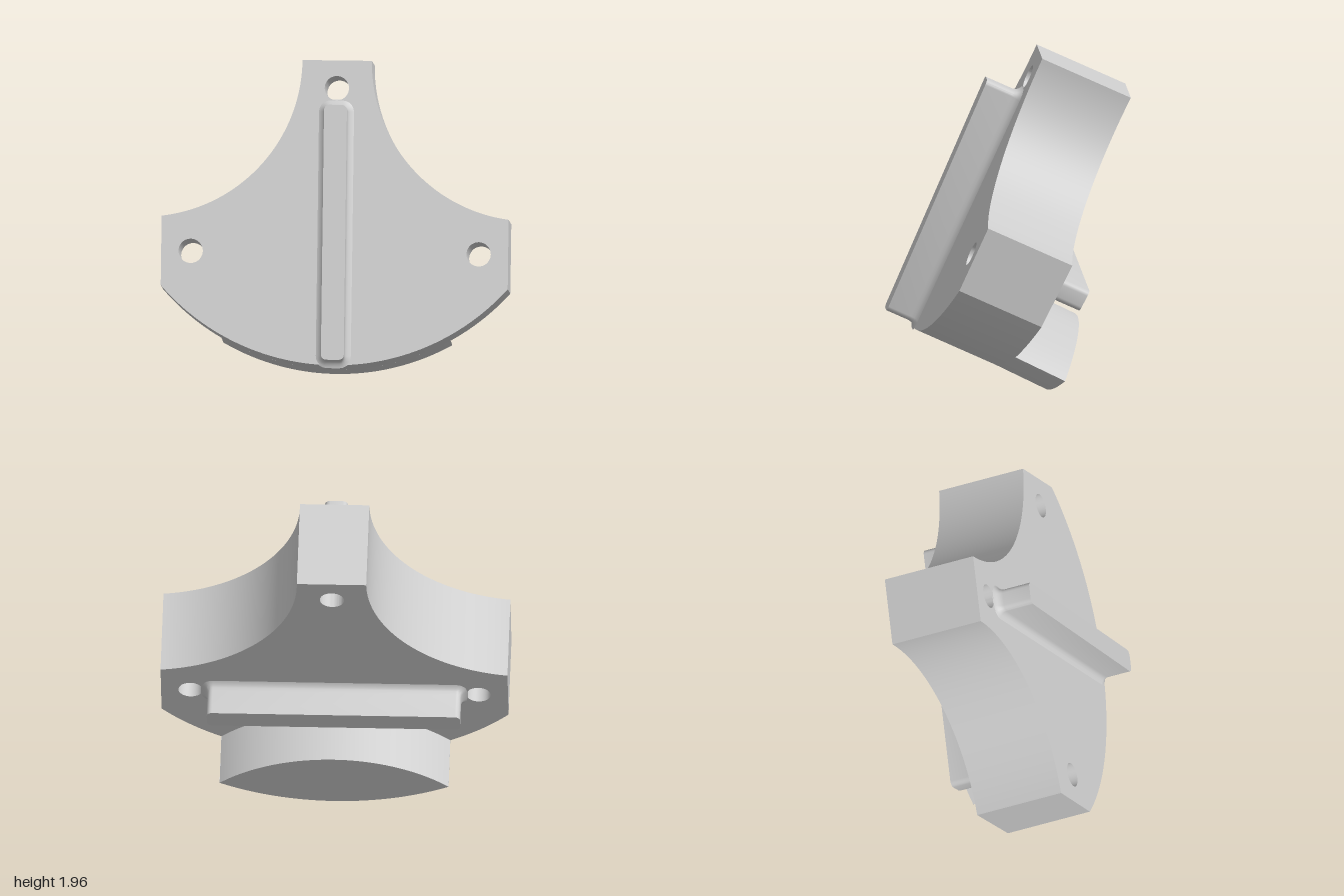
import * as THREE from 'three';
import { toCreasedNormals } from 'three/addons/utils/BufferGeometryUtils.js';

const material = new THREE.MeshStandardMaterial({ color: 0xcccccc });

function part(name, geometry) {
  const mesh = new THREE.Mesh(toCreasedNormals(geometry, 0.6), material);
  mesh.name = name;
  return mesh;
}

// Extrude a shape so its back and front lie on sloping planes z = f(y)
function wedge(shape, back, front) {
  const geo = new THREE.ExtrudeGeometry(shape, { depth: 1, bevelEnabled: false, curveSegments: 28 });
  const p = geo.attributes.position;
  for (let i = 0; i < p.count; i++) {
    const y = p.getY(i);
    p.setZ(i, p.getZ(i) > 0.5 ? front(y) : back(y));
  }
  return geo;
}

// Round-cornered bar with a concave fillet at its foot; foot and top slope with y
function ridge(x0, x1, y0, y1, foot, top) {
  const radius = 0.03, steps = 5;
  const corners = [[x1, y1], [x0, y1], [x0, y0], [x1, y0]];
  const rows = [[0.04, -0.01], [0.03, 0.01], [0.015, 0.06], [0.005, 0.12], [0, 0.22], [0, 1]];
  const cx = (x0 + x1) / 2, cy = (y0 + y1) / 2;
  const pos = [], index = [];
  const add = (x, y, t) => pos.push(x, y, foot(y) + t * (top(y) - foot(y)));
  for (const [offset, t] of rows) {
    corners.forEach(([x, y], k) => {
      const mx = x - Math.sign(x - cx) * radius, my = y - Math.sign(y - cy) * radius;
      for (let s = 0; s <= steps; s++) {
        const a = (k + s / steps) * Math.PI / 2;
        add(mx + (radius + offset) * Math.cos(a), my + (radius + offset) * Math.sin(a), t);
      }
    });
  }
  const n = 4 * (steps + 1), last = (rows.length - 1) * n;
  add(cx, cy, 1);
  for (let i = 0; i < n; i++) {
    const k = (i + 1) % n;
    for (let j = 0; j < last; j += n) {
      index.push(j + i, j + k, j + n + k, j + i, j + n + k, j + n + i);
    }
    index.push(last + n, last + i, last + k);
  }
  const geo = new THREE.BufferGeometry();
  geo.setAttribute('position', new THREE.Float32BufferAttribute(pos, 3));
  geo.setIndex(index);
  return geo;
}

export function createModel() {
  const model = new THREE.Group();
  model.name = 'tiltedBlock';
  const tilted = new THREE.Group();
  tilted.name = 'tiltedAssembly';
  tilted.rotation.x = -THREE.MathUtils.degToRad(25);
  tilted.position.set(0, 0.365, 0.54);
  model.add(tilted);

  const PI = Math.PI, R = 1.336;
  const frontFace = y => 0.003 + 0.007 * y;
  const backFace = y => -0.507 - 0.024 * y;

  // Three-lobed plate: convex bottom edge, two concave shoulders, three holes
  const plate = new THREE.Shape();
  plate.absarc(0, R, R, 1.5 * PI - 0.846, 1.5 * PI + 0.846, false);
  plate.absarc(1.114, 1.758, 0.914, 1.5 * PI - 0.125, PI, true);
  plate.absarc(-1.114, 1.758, 0.914, 0, -0.5 * PI + 0.125, true);
  plate.closePath();
  for (const [x, y] of [[-0.83, 0.65], [0.83, 0.65], [0, 1.598]]) {
    const hole = new THREE.Path();
    hole.absarc(x, y, 0.07, 0, 2 * PI, true);
    plate.holes.push(hole);
  }
  tilted.add(part('plate', wedge(plate, backFace, frontFace)));

  // Lens-shaped pad behind the bottom edge
  const lens = new THREE.Shape();
  lens.absarc(0, R, R, 1.5 * PI - 0.517, 1.5 * PI + 0.517, false);
  lens.absarc(0, -0.498, 0.942, PI / 2 - 0.776, PI / 2 + 0.776, false);
  lens.closePath();
  const pad = wedge(lens, y => -0.823 - 0.052 * y, y => backFace(y) + 0.01);
  const p = pad.attributes.position;
  for (let i = 0; i < p.count; i++) if (p.getZ(i) < -0.7) p.setY(i, p.getY(i) - 0.011);
  tilted.add(part('lensPad', pad));

  // Upright ridge on the front
  tilted.add(part('frontRidge',
    ridge(-0.066, 0.066, 0.023, 1.492, frontFace, y => 0.187 + 0.029 * y)));

  // Crosswise ridge on the back
  const backRidge = part('backRidge',
    ridge(-0.73, 0.73, 0.58, 0.71, y => -backFace(y), y => 0.698 + 0.043 * y));
  backRidge.rotation.y = PI;
  tilted.add(backRidge);

  return model;
}
